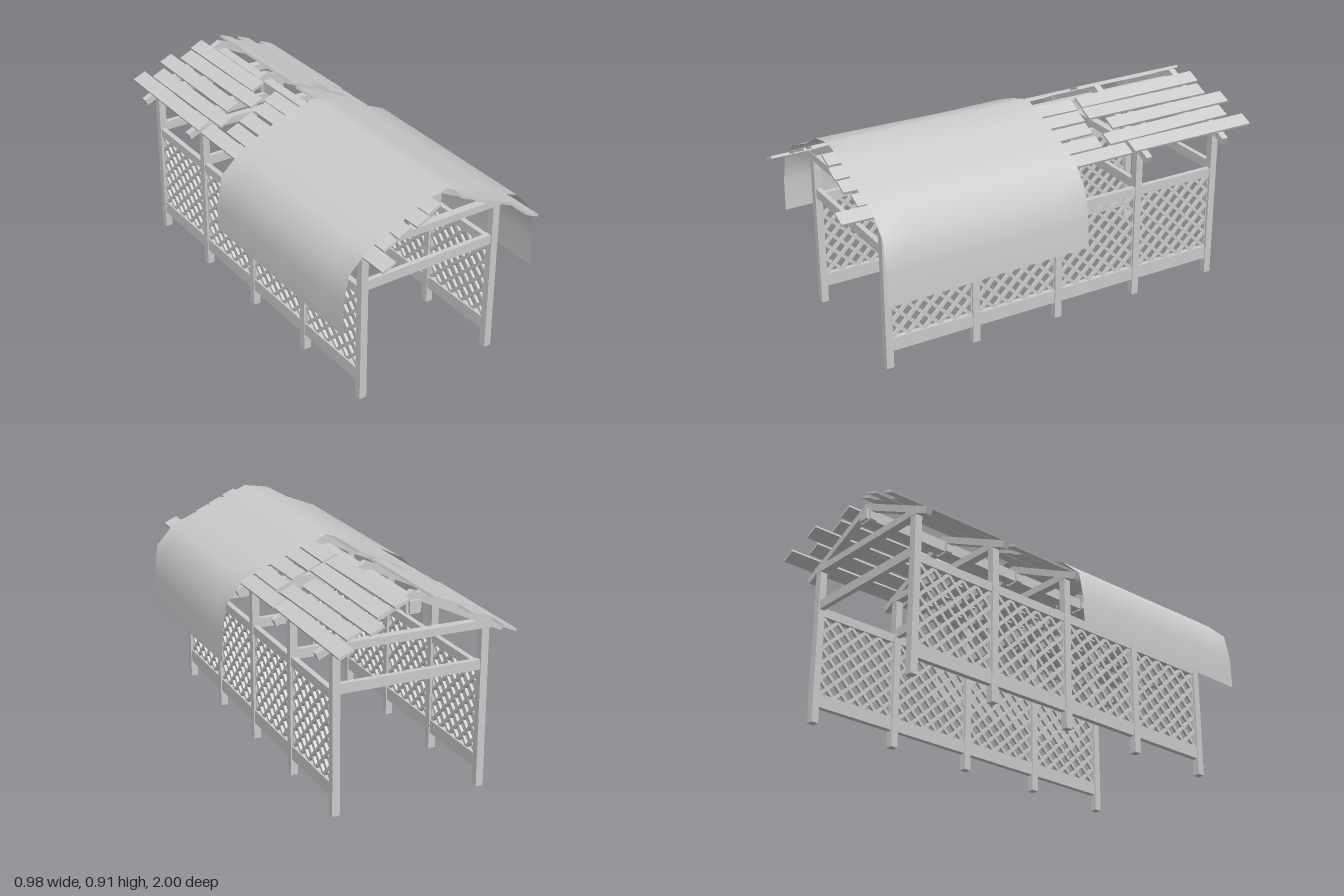
import * as THREE from 'three';

const CX = -0.01;                                  // centre line of the timber frame
const FRAMES = [0.8, 0.39, -0.02, -0.43, -0.84];   // z of the five frames
const HALF = 0.326;                                // centre line to post centre
const POST = 0.033;
const SLOPE = 0.475;
const PITCH = Math.atan(SLOPE);
const roofY = (d) => 0.895 - SLOPE * d;            // top of the rafters

const mat = new THREE.MeshStandardMaterial({ color: 0xcccccc, flatShading: true });
const clothMat = new THREE.MeshStandardMaterial({ color: 0xcccccc, side: THREE.DoubleSide });

function mesh(parent, name, geometry, x = 0, y = 0, z = 0) {
  const m = new THREE.Mesh(geometry, mat);
  m.name = name;
  m.position.set(x, y, z);
  parent.add(m);
  return m;
}
const box = (parent, name, w, h, d, x, y, z) =>
  mesh(parent, name, new THREE.BoxGeometry(w, h, d), x, y, z);

// Square collar with chamfered corners, wrapped round the ridge beam
function collarGeometry() {
  const a = 0.033, c = 0.008, s = new THREE.Shape();
  s.setFromPoints([
    [a - c, -a], [a, c - a], [a, a - c], [a - c, a],
    [c - a, a], [-a, a - c], [-a, c - a], [c - a, -a],
  ].map(([x, y]) => new THREE.Vector2(x, y)));
  return new THREE.ExtrudeGeometry(s, { depth: 0.034, bevelEnabled: false }).translate(0, 0, -0.017);
}

// One portal frame: posts, tie beam, rail and rafters
function buildFrame(z, collar) {
  const g = new THREE.Group();
  g.name = 'frame';
  g.position.set(CX, 0, z);
  for (const s of [-1, 1]) {
    box(g, 'post', POST, 0.7, POST, s * HALF, 0.35, 0);
    const len = 0.41 / Math.cos(PITCH), t = 0.03;
    const r = box(g, 'rafter', len, t, 0.03, s * (0.207 - Math.sin(PITCH) * t / 2),
      roofY(0.207) - Math.cos(PITCH) * t / 2, 0);
    r.rotation.z = -s * PITCH;
  }
  box(g, 'tieBeam', 0.71, 0.032, 0.036, 0, 0.711, 0);
  box(g, 'crossRail', 2 * HALF - POST, 0.043, 0.022, 0, 0.538, 0);
  mesh(g, 'ridgeCollar', collar, 0, 0.834, 0);
  return g;
}

// Lattice sheet drawn in (z, y) with staggered diamond holes, cut in half at the rim
function latticeGeometry(width) {
  const n = 10, y0 = 0.135, y1 = 0.49, r = 0.026, depth = 0.012;
  const zMax = width / 2;
  const shape = new THREE.Shape();
  shape.moveTo(-zMax, 0.075).lineTo(zMax, 0.075).lineTo(zMax, 0.53).lineTo(-zMax, 0.53).closePath();
  const lim = zMax - 0.004;
  for (let i = 0; i <= n; i++) {
    for (let j = 0; j <= n; j++) {
      if ((i + j) % 2 === 0) continue;
      const cz = -lim + (2 * lim * i) / n, cy = y0 + ((y1 - y0) * j) / n;
      const pts = [[r, 0], [0, r], [-r, 0], [0, -r]].map(([a, b]) => new THREE.Vector2(
        THREE.MathUtils.clamp(cz + a, -lim, lim), THREE.MathUtils.clamp(cy + b, y0, y1)));
      shape.holes.push(new THREE.Path(pts.reverse()));
    }
  }
  return new THREE.ExtrudeGeometry(shape, { depth, bevelEnabled: false })
    .translate(0, 0, -depth / 2).rotateY(-Math.PI / 2);
}

// Roof boards: [distance from centre line, back z0, back z1, front z0, front z1] for each side
const BOARDS = {
  '-1': [
    [0.35, -1, -0.375, -0.36, 1], [0.285, -0.92, -0.3, -0.25, 0.92],
    [0.215, -0.98, -0.355, -0.25, 0.92], [0.145, -0.9, -0.275, -0.245, 0.935],
    [0.082, -0.915, -0.36, -0.255, 0.925],
  ],
  '1': [
    [0.352, -1, -0.375, -0.36, 1], [0.285, -0.92, -0.29, -0.25, 0.9],
    [0.215, -0.98, -0.35, -0.245, 0.925], [0.145, -0.9, -0.275, -0.25, 0.93],
    [0.078, -0.91, -0.28, -0.255, 0.925],
  ],
};

function buildBoards() {
  const g = new THREE.Group();
  g.name = 'roofBoards';
  for (const s of [-1, 1]) {
    BOARDS[s].forEach(([d, b0, b1, f0, f1], i) => {
      const mid = (f0 + f1) / 2;
      [[b0, b1], [f0, mid - 0.006], [mid + 0.006, f1]].forEach(([z0, z1], k) => {
        const wob = ((i * 3 + k * 2 + (s > 0 ? 1 : 0)) % 5 - 2) * 0.004;   // hand-laid unevenness
        const lift = k === 0 ? 0.01 : 0.006;
        const b = box(g, 'roofBoard', 0.066, 0.011, z1 - z0, CX + s * d, roofY(d) + lift, (z0 + z1) / 2);
        b.rotation.set(wob * 0.6, wob, -s * (PITCH - 0.03), 'ZXY');
      });
    });
  }
  return g;
}

// Cloth cover lofted between its front and back edge profiles
function buildCover() {
  const front = [
    [-0.488, 0.41], [-0.487, 0.55], [-0.463, 0.675], [-0.37, 0.763], [-0.22, 0.825], [-0.12, 0.884],
    [0, 0.905], [0.12, 0.857], [0.25, 0.803], [0.37, 0.755], [0.457, 0.66], [0.474, 0.52], [0.48, 0.375],
  ];
  const back = [
    [-0.491, 0.42], [-0.488, 0.54], [-0.465, 0.67], [-0.37, 0.758], [-0.24, 0.825], [-0.12, 0.872],
    [0, 0.907], [0.12, 0.864], [0.25, 0.81], [0.38, 0.755], [0.462, 0.65], [0.482, 0.52], [0.488, 0.4],
  ];
  const rows = 8, n = front.length, pos = [], idx = [];
  for (let r = 0; r <= rows; r++) {
    const t = r / rows;
    for (let i = 0; i < n; i++) {
      const u = i / (n - 1);
      const zf = 0.892 - 0.027 * u, zb = -0.058 - 0.01 * u * u;
      pos.push(
        THREE.MathUtils.lerp(front[i][0], back[i][0], t),
        THREE.MathUtils.lerp(front[i][1], back[i][1], t),
        THREE.MathUtils.lerp(zf, zb, t));
      if (r < rows && i < n - 1) {
        const a = r * n + i;
        idx.push(a, a + 1, a + n, a + 1, a + n + 1, a + n);
      }
    }
  }
  const geo = new THREE.BufferGeometry();
  geo.setAttribute('position', new THREE.Float32BufferAttribute(pos, 3));
  geo.setIndex(idx);
  geo.computeVertexNormals();
  const m = new THREE.Mesh(geo, clothMat);
  m.name = 'clothCover';
  return m;
}

export function createModel() {
  const model = new THREE.Group();
  model.name = 'coveredWalkway';

  const collar = collarGeometry();
  for (const z of FRAMES) model.add(buildFrame(z, collar));
  box(model, 'ridgeBeam', 0.046, 0.05, 1.7, CX, 0.834, -0.02);

  // Lattice sides between neighbouring posts
  const span = FRAMES[0] - FRAMES[1] - POST;
  const lattice = latticeGeometry(span);
  for (const s of [-1, 1]) {
    const side = new THREE.Group();
    side.name = s < 0 ? 'rightLatticeSide' : 'leftLatticeSide';
    side.position.x = CX + s * HALF;
    for (let i = 0; i < FRAMES.length - 1; i++) {
      const z = (FRAMES[i] + FRAMES[i + 1]) / 2;
      mesh(side, 'latticePanel', lattice, 0, 0, z);
      box(side, 'bottomRail', 0.024, 0.06, span, 0, 0.105, z);
      box(side, 'topRail', 0.024, 0.04, span, 0, 0.51, z);
    }
    model.add(side);
  }

  model.add(buildBoards(), buildCover());
  return model;
}
